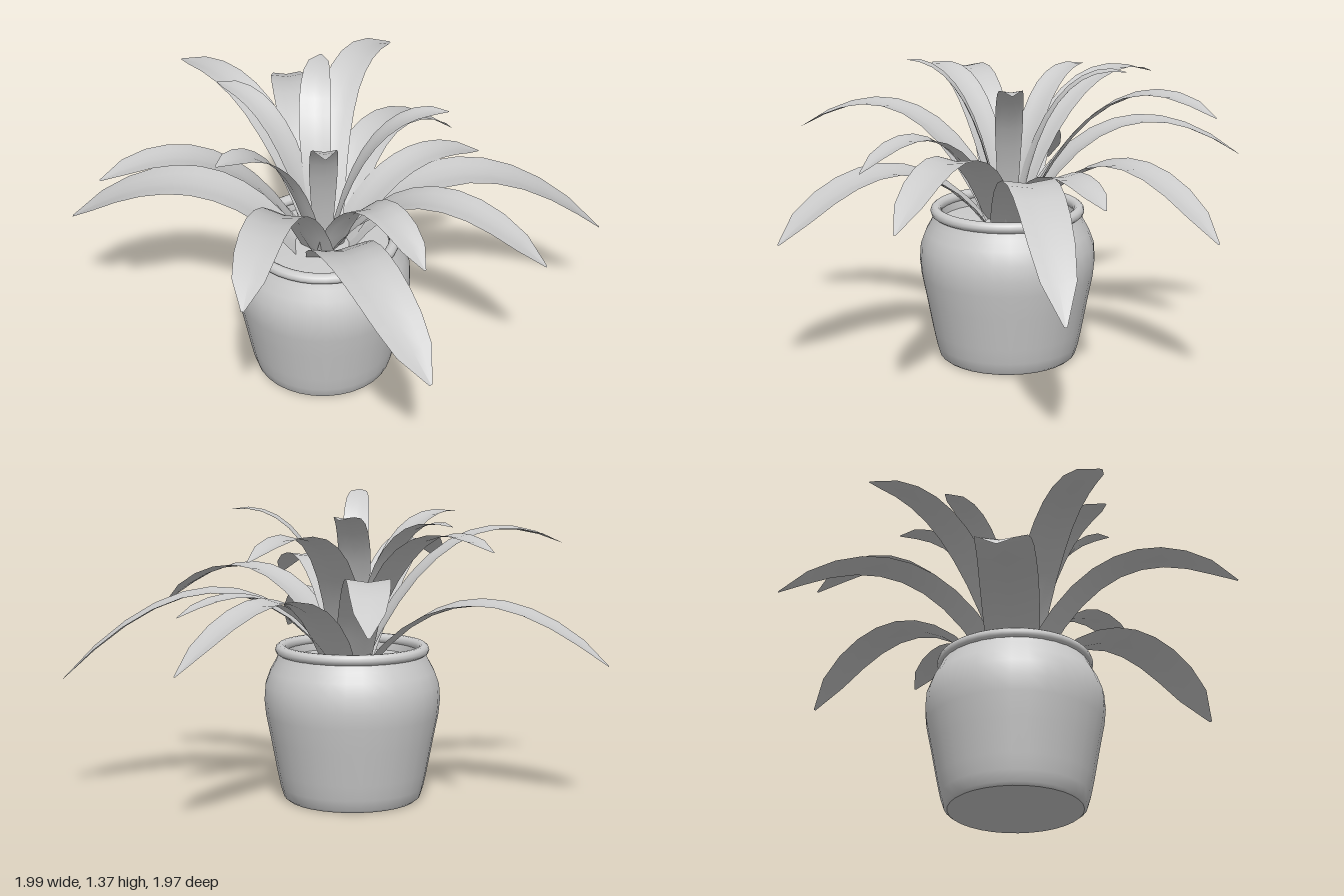
import * as THREE from 'three';

const CX = -0.085, CZ = -0.01; // pot axis
const grey = new THREE.MeshStandardMaterial({ color: 0xcccccc });
const leafGrey = new THREE.MeshStandardMaterial({ color: 0xcccccc, side: THREE.DoubleSide });

function lathe(name, points, segments = 32) {
  const geo = new THREE.LatheGeometry(points.map(([r, y]) => new THREE.Vector2(r, y)), segments);
  const mesh = new THREE.Mesh(geo, grey);
  mesh.name = name;
  mesh.position.set(CX, 0, CZ);
  return mesh;
}

// Relative half-width from root to tip, with a blunt point
const BROAD = [0.85, 0.95, 1, 1.02, 1.02, 1, 0.98, 0.94, 0.86, 0.67, 0.06];
const SLIM = [0.62, 0.74, 0.85, 0.94, 1, 1, 0.98, 0.93, 0.84, 0.64, 0.06];
const ACROSS = 4;

// Arching leaf: tip position, highest point, full width, sideways bow, reach of the bend
function leaf([tx, ty, tz, apex, width, bow = 0, reach = 0.4], widths, rootRadius) {
  const dir = new THREE.Vector3(tx - CX, 0, tz - CZ).normalize();
  const side = new THREE.Vector3(-dir.z, 0, dir.x);
  const root = new THREE.Vector3(CX, 0.62, CZ).addScaledVector(dir, rootRadius);
  const tip = new THREE.Vector3(tx, ty, tz);
  // Control height that makes the curve peak at the apex
  const h = apex - root.y, d = ty - root.y;
  const control = root.clone().lerp(tip, reach).addScaledVector(side, bow * 2);
  control.y = root.y + h + Math.sqrt(Math.max(0, h * h - h * d));
  const curve = new THREE.QuadraticBezierCurve3(root, control, tip);

  const pos = [], index = [], n = widths.length - 1;
  for (let i = 0; i <= n; i++) {
    const t = i / n, p = curve.getPoint(t), tan = curve.getTangent(t);
    const across = new THREE.Vector3().crossVectors(tan, new THREE.Vector3(0, 1, 0)).normalize();
    const up = new THREE.Vector3().crossVectors(across, tan);
    const half = widths[i] * width / 2;
    for (let j = 0; j <= ACROSS; j++) {
      const u = j / ACROSS * 2 - 1;
      // Shallow fold along the midrib
      const lift = half * 0.15 * (Math.abs(u) - 0.5);
      const v = p.clone().addScaledVector(across, u * half).addScaledVector(up, lift);
      pos.push(v.x, v.y, v.z);
      if (i < n && j < ACROSS) {
        const a = i * (ACROSS + 1) + j, b = a + ACROSS + 1;
        index.push(a, a + 1, b, a + 1, b + 1, b);
      }
    }
  }
  const geo = new THREE.BufferGeometry();
  geo.setAttribute('position', new THREE.Float32BufferAttribute(pos, 3));
  geo.setIndex(index);
  geo.computeVertexNormals();
  return new THREE.Mesh(geo, leafGrey);
}

const OUTER = [
  [-0.71, 0.66, -0.98, 0.91, 0.25],
  [-0.51, 0.64, 0.97, 0.9, 0.26, 0.06],
  [0.95, 0.56, 0.77, 0.95, 0.22],
  [0.99, 0.70, -0.15, 0.96, 0.2, -0.06],
  [0.70, 0.87, 0.24, 0.95, 0.17],
];
const MIDDLE = [
  [-1.0, 1.0, 0.41, 1.13, 0.2, 0.04],
  [0.23, 0.83, 0.98, 1.03, 0.19],
  [0.57, 0.90, -0.86, 1.07, 0.19, -0.03],
  [-0.26, 0.95, 0.72, 1.07, 0.17],
  [-0.90, 1.15, -0.52, 1.22, 0.18],
  [0.79, 1.17, -0.38, 1.25, 0.17, -0.07],
];
const INNER = [
  [-0.02, 1.20, -0.95, 1.25, 0.16, 0, 0.35],
  [-0.64, 1.28, -0.09, 1.285, 0.16, 0, 0.32],
  [0.30, 1.31, -0.37, 1.315, 0.14, -0.03, 0.28],
  [0.30, 1.31, 0.37, 1.315, 0.12, 0, 0.28],
  [-0.40, 1.37, 0.30, 1.37, 0.12, 0, 0.28],
  [-0.14, 1.27, -0.59, 1.28, 0.13, 0, 0.3],
];

export function createModel() {
  const model = new THREE.Group();
  model.name = 'pottedPlant';

  // Pot: underside, bulging wall, then the inner wall
  const underside = new THREE.Mesh(new THREE.CircleGeometry(0.295, 32), grey);
  underside.name = 'potBase';
  underside.rotation.x = Math.PI / 2;
  underside.position.set(CX, 0, CZ);
  model.add(
    underside,
    lathe('potWall', [[0.295, 0], [0.31, 0.012], [0.325, 0.06], [0.34, 0.13], [0.368, 0.28],
      [0.39, 0.39], [0.397, 0.46], [0.392, 0.53], [0.37, 0.59], [0.345, 0.635], [0.33, 0.67]]),
    lathe('potInside', [[0.31, 0.69], [0.3, 0.66], [0.3, 0.6]]),
    lathe('soil', [[0.302, 0.635], [0.15, 0.645], [0, 0.65]]),
  );

  // Rolled rim
  const rim = new THREE.Mesh(new THREE.TorusGeometry(0.322, 0.025, 10, 40), grey);
  rim.name = 'potRim';
  rim.rotation.x = Math.PI / 2;
  rim.position.set(CX, 0.685, CZ);
  model.add(rim);

  // Three tiers of leaves
  const tiers = [
    ['outerLeaves', OUTER, BROAD, 0.09],
    ['middleLeaves', MIDDLE, BROAD, 0.05],
    ['innerLeaves', INNER, SLIM, 0.03],
  ];
  for (const [name, list, widths, rootRadius] of tiers) {
    const tier = new THREE.Group();
    tier.name = name;
    list.forEach((spec, i) => {
      const mesh = leaf(spec, widths, rootRadius);
      mesh.name = `leaf${i + 1}`;
      tier.add(mesh);
    });
    model.add(tier);
  }
  return model;
}
